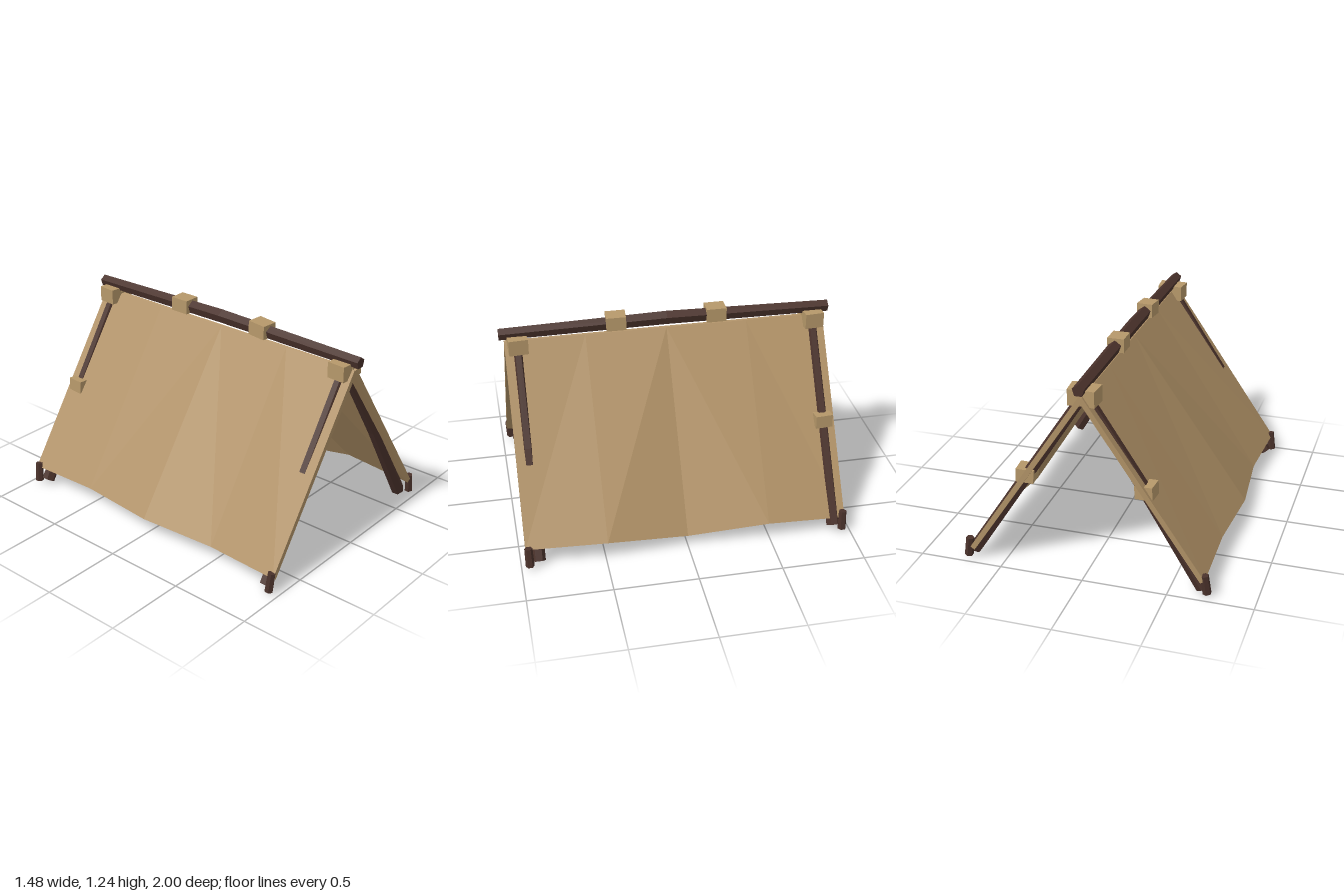
import * as THREE from 'three';

const mat = (name, color, extra = {}) =>
  Object.assign(new THREE.MeshStandardMaterial({ color, flatShading: true, ...extra }), { name });

export function createModel() {
  const group = new THREE.Group();
  const wood = mat('dark wood', 0x4a322b);
  const canvas = mat('tan canvas', 0xb09166, { side: THREE.DoubleSide });
  const rope = mat('rope binding', 0xb6986a);

  const add = (name, geometry, material) => {
    const mesh = new THREE.Mesh(geometry, material);
    mesh.name = name;
    group.add(mesh);
    return mesh;
  };

  // Slightly bent pole: one ring of vertices around each path point
  function pole(name, path, radii, sides = 6) {
    const pts = path.map((p) => new THREE.Vector3(...p));
    const last = pts.length - 1;
    const dir = pts[last].clone().sub(pts[0]).normalize();
    const turn = new THREE.Quaternion().setFromUnitVectors(new THREE.Vector3(0, 1, 0), dir);
    const geo = new THREE.CylinderGeometry(1, 1, last, sides, last);
    const pos = geo.attributes.position;
    const v = new THREE.Vector3();
    for (let i = 0; i < pos.count; i++) {
      const k = Math.round(pos.getY(i) + last / 2);
      v.set(pos.getX(i) * radii[k], 0, pos.getZ(i) * radii[k]).applyQuaternion(turn).add(pts[k]);
      pos.setXYZ(i, v.x, v.y, v.z);
    }
    geo.computeVertexNormals();
    return add(name, geo, wood);
  }

  // Square rope binding
  function binding(name, size, position, rotation = [0, 0, 0]) {
    const mesh = add(name, new THREE.BoxGeometry(...size), rope);
    mesh.position.set(...position);
    mesh.rotation.set(...rotation);
  }

  // Canvas slab with a wavy hem; hem holds [x, y] per station, front to back
  function panel(name, s, hem) {
    const zs = [0.97, 0.49, 0, -0.49, -0.97];
    const rings = zs.map((z, i) => {
      const [x, y] = hem[i];
      return [[0.01, 1.142, z], [x, y, z], [x - 0.025, y - 0.018, z], [-0.015, 1.124, z]]
        .map(([px, py, pz]) => [s * px, py, pz]);
    });
    const out = [];
    const tri = (a, b, c) => out.push(...a, ...(s > 0 ? b : c), ...(s > 0 ? c : b));
    for (let i = 0; i < 4; i++) {
      for (let k = 0; k < 4; k++) {
        const n = (k + 1) % 4;
        const [p, q, r, u] = [rings[i][k], rings[i][n], rings[i + 1][n], rings[i + 1][k]];
        // Folds fan out from the middle of the ridge
        const fan = k === 2 ? i < 2 : i >= 2;
        if (fan) { tri(p, q, r); tri(p, r, u); }
        else { tri(p, q, u); tri(q, r, u); }
      }
    }
    const [T, B, b, t] = rings[0];
    tri(T, b, B); tri(T, t, b);
    const [T2, B2, b2, t2] = rings[4];
    tri(T2, B2, b2); tri(T2, b2, t2);
    const geo = new THREE.BufferGeometry();
    geo.setAttribute('position', new THREE.Float32BufferAttribute(out, 3));
    geo.computeVertexNormals();
    add(name, geo, canvas);
  }

  panel('leftCanvas', 1, [[0.695, 0.13], [0.735, 0.14], [0.68, 0.08], [0.715, 0.125], [0.70, 0.095]]);
  panel('rightCanvas', -1, [[0.715, 0.12], [0.685, 0.11], [0.73, 0.12], [0.70, 0.13], [0.71, 0.12]]);

  // Ridge pole
  pole('ridgePole', [[0, 1.19, 1], [0, 1.205, 0], [0, 1.19, -1]], [0.036, 0.042, 0.036], 5);

  // Leg poles: side, end z, foot x and y
  const legs = [[1, 0.895, 0.68, 0.03], [-1, 0.895, 0.68, 0.03], [1, -0.9, 0.70, 0.05], [-1, -0.9, 0.685, 0.035]];
  for (const [s, z, fx, fy] of legs) {
    pole('legPole', [[s * fx, fy, z], [s * 0.344, 0.6, z], [s * 0.015, 1.11, z]], [0.041, 0.038, 0.033]);
    // Binding at the leg top
    binding('apexBinding', [0.1, 0.095, 0.115], [s * 0.032, 1.13, z], [0, s * 0.08, 0]);
    // Ground stake at the canvas corner
    pole('stake', [[s * 0.72, 0.03, s > 0 ? Math.sign(z) * 0.95 : Math.sign(z) * 0.945],
      [s * 0.705, 0.148, Math.sign(z) * 0.953]], [0.026, 0.024]);
  }

  // Bindings halfway down the back legs
  for (const s of [1, -1]) {
    binding('legBinding', [0.105, 0.08, 0.105], [s * 0.352, 0.603, -0.897], [0, s * 0.07, s * 0.05]);
  }

  // Bindings along the ridge
  binding('ridgeBinding', [0.1, 0.085, 0.12], [-0.003, 1.21, 0.305], [0.04, -0.08, 0]);
  binding('ridgeBinding', [0.1, 0.085, 0.12], [-0.004, 1.209, -0.3]);

  return group;
}
